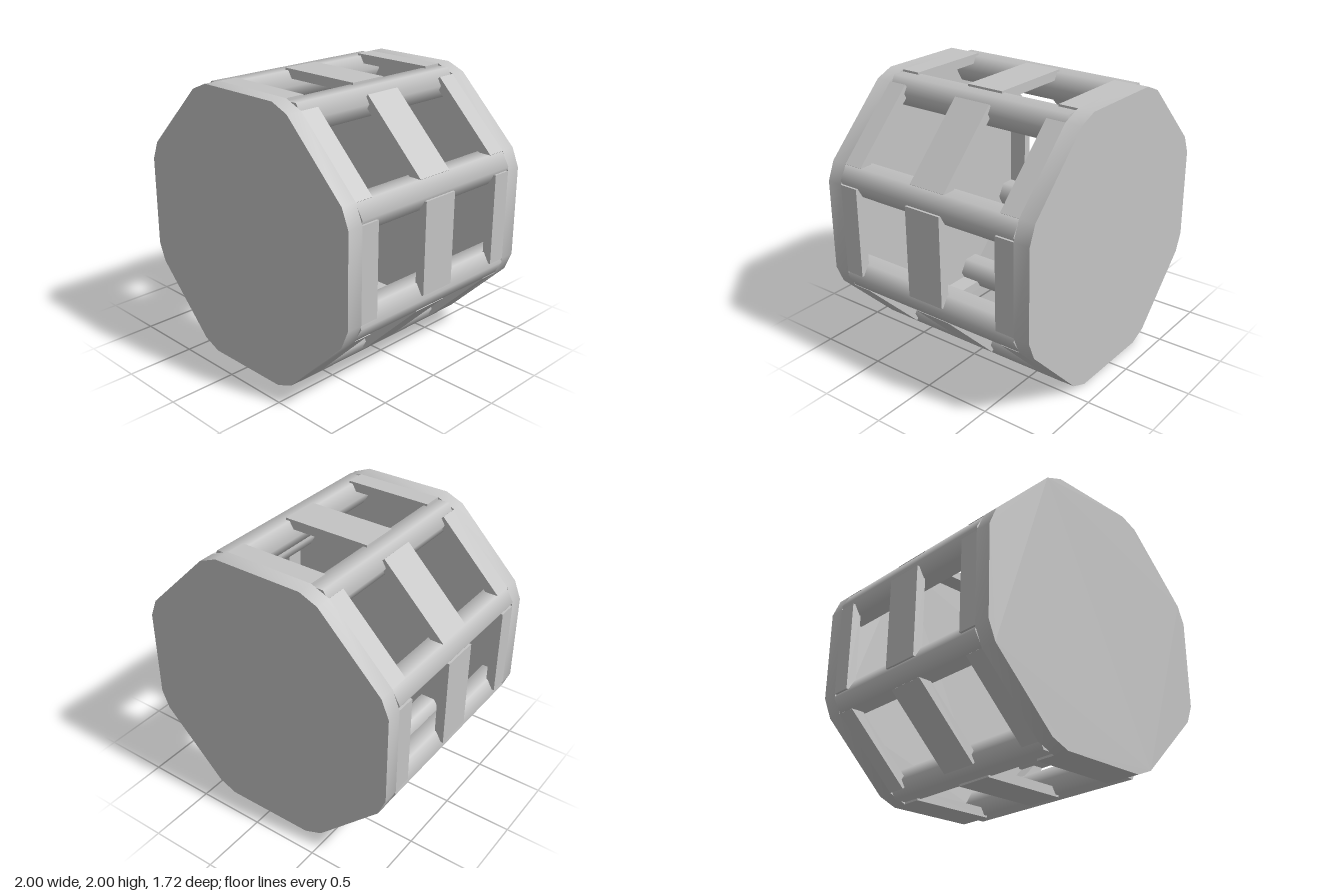
import * as THREE from 'three';
import { toCreasedNormals } from 'three/addons/utils/BufferGeometryUtils.js';

export function createModel() {
  const group = new THREE.Group();
  const grey = new THREE.MeshStandardMaterial({ color: 0xc4c4c4 });
  grey.name = 'grey';
  const centreY = 1;

  const add = (name, geometry, x, y, z, turn = 0) => {
    const mesh = new THREE.Mesh(geometry, grey);
    mesh.name = name;
    mesh.position.set(x, y + centreY, z);
    mesh.rotation.z = turn;
    group.add(mesh);
  };

  // End plates: octagons with clipped corners, rim shaded smoothly
  const outline = [];
  for (let i = 0; i < 8; i++) {
    const a = i * Math.PI / 4, half = Math.atan(0.335);
    for (const s of [-half, half]) {
      const r = Math.hypot(1, 0.335);
      outline.push(new THREE.Vector2(r * Math.cos(a + s), r * Math.sin(a + s)));
    }
  }
  const plate = toCreasedNormals(
    new THREE.ExtrudeGeometry(new THREE.Shape(outline), { depth: 0.12, bevelEnabled: false }),
    Math.PI / 4
  );
  add('frontPlate', plate, 0, 0, 0.74);
  add('backPlate', plate, 0, 0, -0.86);

  // Six-sided, smooth-shaded rods at the eight corners, all turned the same way
  const rod = new THREE.CylinderGeometry(0.12, 0.12, 1.48, 6);
  rod.rotateX(Math.PI / 2);
  rod.rotateZ(Math.PI / 6);
  for (let i = 0; i < 8; i++) {
    const a = (i + 0.5) * Math.PI / 4;
    add('cornerRod', rod, 0.953 * Math.cos(a), 0.953 * Math.sin(a), 0);
  }

  // Three slats on each of the eight sides
  const thickness = 0.07;
  for (const [z, width] of [[-0.668, 0.145], [0, 0.29], [0.668, 0.145]]) {
    const slat = new THREE.BoxGeometry(thickness, 0.67, width);
    for (let i = 0; i < 8; i++) {
      const a = i * Math.PI / 4, r = 1 - thickness / 2;
      add('sideSlat', slat, r * Math.cos(a), r * Math.sin(a), z, a);
    }
  }
  return group;
}
